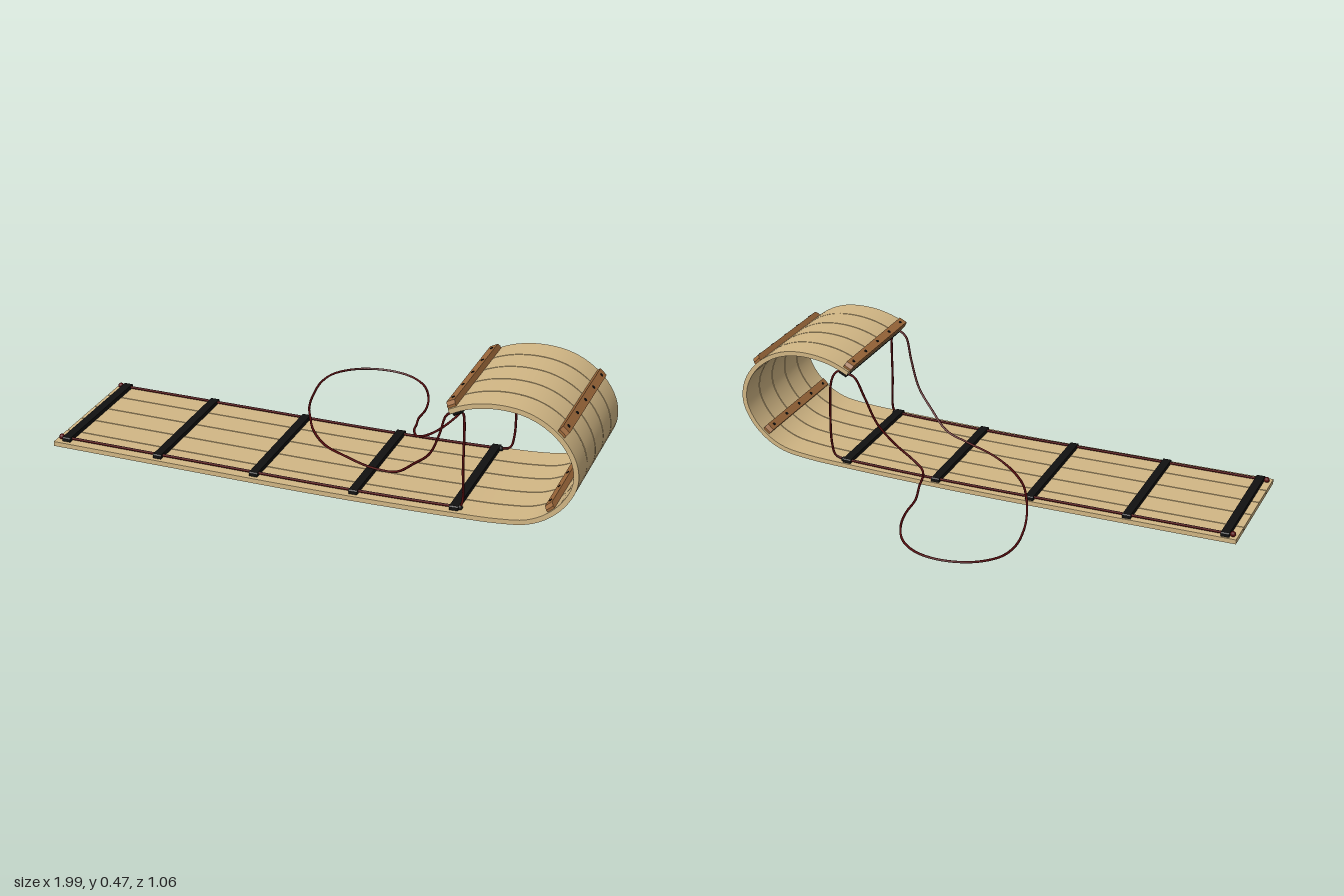
import * as THREE from 'three';
import { toCreasedNormals } from 'three/addons/utils/BufferGeometryUtils.js';

const material = (name, color) => {
  const m = new THREE.MeshStandardMaterial({ color });
  m.name = name;
  return m;
};

const Z0 = -0.007, Z1 = 0.525, SLATS = 5, THICK = 0.018;
const PITCH = (Z1 - Z0) / SLATS;

export function createModel() {
  const paleWood = material('pale wood', 0xd2b785);
  const brownWood = material('brown wood', 0x9c683a);
  const black = material('black', 0x111111);
  const red = material('dark red rope', 0x560c0e);

  const group = new THREE.Group();
  group.name = 'toboggan';
  const add = (name, geometry, mat, parent = group) => {
    const mesh = new THREE.Mesh(geometry, mat);
    mesh.name = name;
    parent.add(mesh);
    return mesh;
  };

  // Side profile of the deck: flat run, then the curled nose
  const profile = new THREE.CatmullRomCurve3([
    [-1, 0.013], [-0.5, 0.013], [0, 0.014], [0.3, 0.019], [0.55, 0.027], [0.72, 0.036],
    [0.82, 0.052], [0.89, 0.088], [0.95, 0.15], [0.983, 0.225], [0.977, 0.3],
    [0.936, 0.373], [0.87, 0.428], [0.8, 0.457], [0.72, 0.466], [0.64, 0.458],
    [0.58, 0.44], [0.535, 0.418],
  ].map(([x, y]) => new THREE.Vector3(x, y, 0)), false, 'centripetal');
  profile.arcLengthDivisions = 1000;

  const frame = (u) => {
    const p = profile.getPointAt(u), t = profile.getTangentAt(u);
    return { p, t, n: new THREE.Vector3(-t.y, t.x, 0) };
  };

  // Five slats, extruded across the width with narrow gaps
  const upper = [], lower = [];
  for (let i = 0; i <= 120; i++) {
    const { p, n } = frame(i / 120);
    upper.push(new THREE.Vector2(p.x + n.x * THICK / 2, p.y + n.y * THICK / 2));
    lower.push(new THREE.Vector2(p.x - n.x * THICK / 2, p.y - n.y * THICK / 2));
  }
  const section = new THREE.Shape([...lower, ...upper.reverse()]);
  const slatGeometry = toCreasedNormals(
    new THREE.ExtrudeGeometry(section, { depth: PITCH - 0.004, bevelEnabled: false }), 0.6);
  for (let i = 0; i < SLATS; i++) {
    add('slat', slatGeometry, paleWood).position.z = Z0 + i * PITCH + 0.002;
  }

  // Crossbars sit on the deck surface nearest to a given point
  const barGeometry = (width, height, z0, z1, cut) => {
    const s = new THREE.Shape();
    s.moveTo(-z1, 0);
    s.lineTo(-z0, 0);
    s.lineTo(-z0, height - cut);
    s.lineTo(-z0 - cut, height);
    s.lineTo(-z1 + cut, height);
    s.lineTo(-z1, height - cut);
    return new THREE.ExtrudeGeometry(s, { depth: width, bevelEnabled: false })
      .translate(0, 0, -width / 2).rotateY(Math.PI / 2);
  };
  const placeBar = (name, x, y, outside, geometry, mat) => {
    let best = 0, bestD = Infinity;
    for (let i = 0; i <= 600; i++) {
      const p = profile.getPointAt(i / 600), d = Math.hypot(p.x - x, p.y - y);
      if (d < bestD) { bestD = d; best = i / 600; }
    }
    const { p, t, n } = frame(best);
    const bar = new THREE.Group();
    bar.name = name;
    bar.position.copy(p).addScaledVector(n, (outside ? -1 : 1) * (THICK / 2 - 0.001));
    bar.rotation.z = Math.atan2(t.y, t.x) + (outside ? Math.PI : 0);
    add(name + 'Body', geometry, mat, bar);
    group.add(bar);
    return bar;
  };

  // Black bars across the floor and under the tip of the curl
  const blackBar = barGeometry(0.032, 0.017, 0.002, 0.508, 0.004);
  for (const x of [-0.955, -0.58, -0.2, 0.18, 0.555]) {
    placeBar('floorCrossbar', x, 0.022, false, blackBar, black);
  }
  placeBar('tipInnerCrossbar', 0.552, 0.42, false, blackBar, black);

  // Brown bars with screw heads on the nose
  const brownBar = barGeometry(0.032, 0.022, 0.005, 0.512, 0.012);
  const screw = new THREE.CylinderGeometry(0.006, 0.006, 0.004, 10);
  for (const [name, x, y, outside] of [
    ['tipCrossbar', 0.543, 0.428, true],
    ['noseOuterCrossbar', 0.922, 0.395, true],
    ['noseInnerCrossbar', 0.91, 0.103, false],
  ]) {
    const bar = placeBar(name, x, y, outside, brownBar, brownWood);
    for (let i = 0; i < SLATS; i++) {
      add('screw', screw, black, bar).position.set(0, 0.022, Z0 + (i + 0.5) * PITCH);
    }
  }

  // Ropes
  const rope = (name, points, segments, radius = 0.0045) => {
    const curve = new THREE.CatmullRomCurve3(
      points.map((p) => new THREE.Vector3(...p)), false, 'centripetal');
    add(name, new THREE.TubeGeometry(curve, segments, radius, 6), red);
  };
  const knot = new THREE.SphereGeometry(0.011, 10, 8);
  for (const z of [0.018, 0.49]) {
    rope('sideRope', [[-0.985, 0.03, z], [-0.4, 0.031, z], [0.1, 0.032, z], [0.4, 0.038, z],
      [0.57, 0.044, z]], 40, 0.005);
    add('rearKnot', knot, red).position.set(-0.982, 0.031, z);
    add('floorKnot', knot, black).position.set(0.572, 0.043, z);
    add('tipKnot', knot, black).position.set(0.556, 0.41, z);
  }
  rope('frontUprightRope', [[0.55, 0.412, 0.49], [0.575, 0.405, 0.49], [0.58, 0.38, 0.49],
    [0.58, 0.2, 0.49], [0.58, 0.06, 0.49], [0.57, 0.043, 0.49]], 40);
  rope('backUprightRope', [[0.55, 0.412, 0.018], [0.59, 0.41, 0.018], [0.615, 0.37, 0.018],
    [0.625, 0.24, 0.018], [0.622, 0.1, 0.018], [0.608, 0.055, 0.018], [0.57, 0.043, 0.018]], 40);

  // Long pull loop from the tip, trailing over the side onto the ground
  rope('pullRope', [
    [0.55, 0.41, 0.018], [0.52, 0.395, 0.022], [0.485, 0.31, 0.035], [0.44, 0.2, 0.05],
    [0.37, 0.12, 0.063], [0.31, 0.075, 0.066], [0.26, 0.05, 0.048], [0.23, 0.046, 0],
    [0.215, 0.035, -0.07], [0.195, 0.02, -0.15], [0.19, 0.013, -0.25], [0.165, 0.012, -0.35],
    [0.11, 0.012, -0.45], [0.03, 0.012, -0.51], [-0.07, 0.012, -0.528], [-0.18, 0.012, -0.5],
    [-0.255, 0.012, -0.43], [-0.277, 0.012, -0.34], [-0.26, 0.013, -0.2], [-0.225, 0.025, -0.08],
    [-0.185, 0.04, 0.01], [-0.13, 0.034, 0.11], [-0.04, 0.034, 0.21], [0.06, 0.042, 0.275],
    [0.18, 0.046, 0.33], [0.29, 0.065, 0.365], [0.37, 0.13, 0.4], [0.44, 0.2, 0.435],
    [0.485, 0.3, 0.465], [0.515, 0.385, 0.485], [0.55, 0.41, 0.49],
  ], 220);

  return group;
}
